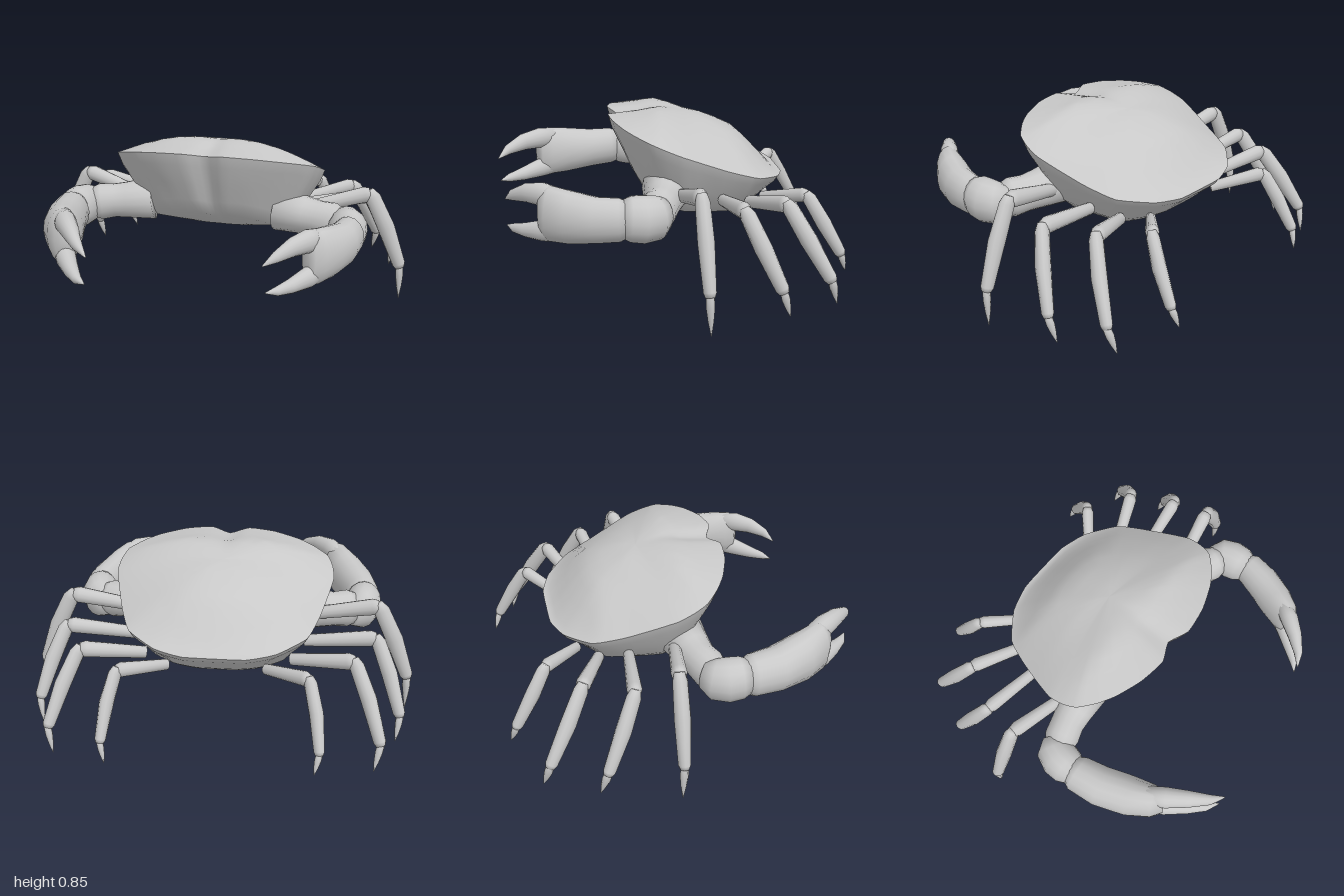
import * as THREE from 'three';

const shellGrey = new THREE.MeshStandardMaterial({ color: 0xc8c8c8 });
shellGrey.name = 'shell grey';

// Skin a list of closed rings (arrays of Vector3) into one smooth surface
function loft(name, rings) {
  const n = rings[0].length, index = [];
  for (let i = 0; i < rings.length - 1; i++) {
    for (let j = 0; j < n; j++) {
      const a = i * n + j, b = i * n + (j + 1) % n;
      index.push(a, b, a + n, b, b + n, a + n);
    }
  }
  const geo = new THREE.BufferGeometry().setFromPoints(rings.flat());
  geo.setIndex(index);
  geo.computeVertexNormals();
  const mesh = new THREE.Mesh(geo, shellGrey);
  mesh.name = name;
  return mesh;
}

// Elliptical limb along stations [x, y, z, half width, half height], closed at both ends
function limb(name, stations, sides = 12) {
  const pts = stations.map(s => new THREE.Vector3(s[0], s[1], s[2]));
  const last = pts.length - 1;
  const rings = pts.map((p, i) => {
    const t = pts[Math.min(i + 1, last)].clone().sub(pts[Math.max(i - 1, 0)]).normalize();
    const side = new THREE.Vector3(0, 1, 0).cross(t).normalize();
    const up = t.clone().cross(side);
    const [, , , w, h] = stations[i];
    return Array.from({ length: sides }, (_, j) => {
      const a = j / sides * Math.PI * 2;
      return p.clone().addScaledVector(side, Math.cos(a) * w).addScaledVector(up, Math.sin(a) * h);
    });
  });
  const cap = p => Array.from({ length: sides }, () => p.clone());
  return loft(name, [cap(pts[0]), ...rings, cap(pts[last])]);
}

// Piecewise linear lookup in [[z, y], ...]
function lookup(table, z) {
  if (z <= table[0][0]) return table[0][1];
  for (let i = 1; i < table.length; i++) {
    const [z0, y0] = table[i - 1], [z1, y1] = table[i];
    if (z <= z1) return y0 + (y1 - y0) * (z - z0) / (z1 - z0);
  }
  return table[table.length - 1][1];
}

// Rim outline seen from above, back to front on the left half
const outline = [[0, -0.625], [0.15, -0.622], [0.29, -0.575], [0.43, -0.46], [0.485, -0.33], [0.53, -0.18],
  [0.557, -0.07], [0.55, 0.01], [0.525, 0.08], [0.45, 0.15], [0.37, 0.2], [0.24, 0.25], [0.1, 0.27], [0, 0.225]];
const rimHeight = [[-0.62, 0.53], [-0.45, 0.57], [-0.3, 0.62], [-0.1, 0.7], [0.08, 0.77], [0.2, 0.81], [0.27, 0.835]];
const crown = [[-0.62, 0.53], [-0.55, 0.61], [-0.4, 0.74], [-0.22, 0.81], [0.02, 0.87], [0.1, 0.855], [0.27, 0.84]];
const belly = [[-0.5, 0.37], [-0.37, 0.345], [-0.1, 0.365], [0.03, 0.4], [0.15, 0.49]];

function makeBody() {
  const body = new THREE.Group();
  body.name = 'body';
  const loop = outline.concat(outline.slice(1, -1).reverse().map(([x, z]) => [-x, z]));
  const curve = new THREE.CatmullRomCurve3(loop.map(([x, z]) => new THREE.Vector3(x, 0, z)), true, 'catmullrom', 0.25);
  const rim = Array.from({ length: 78 }, (_, i) => curve.getPoint(i / 78));
  const zc = -0.15;
  const ring = (s, height) => rim.map(p => {
    const x = p.x * s, z = zc + (p.z - zc) * s;
    return new THREE.Vector3(x, height(lookup(rimHeight, p.z), z, x, p), z);
  });

  // Domed carapace, sloping gently to the sides, with a shallow groove towards the front
  const top = [0, 0.1, 0.2, 0.35, 0.5, 0.62, 0.75, 0.84, 0.92, 0.97, 1].map(s => ring(s, (r, z, x, p) => {
    const fall = s ** THREE.MathUtils.lerp(6, 1.8, Math.abs(p.x) / 0.557);
    const groove = 0.02 * Math.exp(-((x / 0.06) ** 2)) * THREE.MathUtils.smoothstep(z, -0.1, 0.1) * (1 - s ** 6);
    return THREE.MathUtils.lerp(r, lookup(crown, z), 1 - fall) - groove;
  }));
  body.add(loft('carapace', top));

  // Underside tapering in from the rim to the keeled belly
  const under = [[1, 0], [0.96, 0.18], [0.84, 0.5], [0.74, 0.78], [0.64, 0.94], [0.3, 1], [0, 1.04]];
  body.add(loft('underside', under.map(([s, t]) =>
    ring(s, (r, z) => THREE.MathUtils.lerp(r, lookup(belly, z), t)))));
  return body;
}

// Walking legs: base, knee, ankle, tip
const legs = [
  [[0.45, 0.5, -0.06], [0.79, 0.59, -0.125], [0.965, 0.19, -0.143], [0.97, 0.01, -0.15]],
  [[0.42, 0.46, -0.28], [0.77, 0.515, -0.325], [0.9, 0.17, -0.485], [0.885, 0.05, -0.52]],
  [[0.36, 0.43, -0.42], [0.655, 0.505, -0.545], [0.79, 0.17, -0.735], [0.765, 0.05, -0.77]],
  [[0.24, 0.42, -0.51], [0.445, 0.485, -0.69], [0.505, 0.19, -0.86], [0.485, 0.1, -0.89]],
];

function makeLeg(joints, side, i) {
  const leg = new THREE.Group();
  leg.name = (side > 0 ? 'left' : 'right') + 'Leg' + (i + 1);
  const k = [1, 0.95, 0.95, 0.85][i];
  const [base, knee, ankle, tip] = joints.map(([x, y, z]) => new THREE.Vector3(x * side, y, z));
  const at = (a, b, t, w, h, bow = 0) => {
    const p = a.clone().lerp(b, t);
    return [p.x + side * bow, p.y, p.z, w * k, h * k];
  };
  leg.add(limb('upperLeg', [at(base, knee, 0, 0.03, 0.032), at(base, knee, 0.5, 0.034, 0.038),
    at(base, knee, 0.92, 0.038, 0.043), at(base, knee, 1, 0.028, 0.032)]));
  leg.add(limb('lowerLeg', [at(knee, ankle, -0.04, 0.024, 0.024), at(knee, ankle, 0.05, 0.035, 0.041, 0.004),
    at(knee, ankle, 0.45, 0.039, 0.045, 0.012), at(knee, ankle, 0.95, 0.03, 0.034, 0.002),
    at(knee, ankle, 1, 0.022, 0.025)]));
  leg.add(limb('legTip', [at(ankle, tip, -0.1, 0.018, 0.02), at(ankle, tip, 0.25, 0.019, 0.022),
    at(ankle, tip, 0.6, 0.013, 0.015), at(ankle, tip, 1, 0.002, 0.002)], 8));
  return leg;
}

// Arm parts that are alike on both sides
const armParts = {
  arm: [[0.34, 0.505, -0.01, 0.125, 0.115], [0.48, 0.49, 0.02, 0.095, 0.098], [0.55, 0.485, 0.035, 0.086, 0.092],
    [0.62, 0.48, 0.058, 0.088, 0.1], [0.67, 0.475, 0.08, 0.07, 0.08]],
  wrist: [[0.65, 0.475, 0.03, 0.055, 0.08], [0.69, 0.47, 0.07, 0.092, 0.105], [0.71, 0.47, 0.13, 0.1, 0.112],
    [0.715, 0.475, 0.185, 0.092, 0.108], [0.715, 0.475, 0.225, 0.07, 0.09]],
};
// Pincer parts, enlarged on the right
const pincerParts = {
  palm: [[0.72, 0.475, 0.19, 0.055, 0.08], [0.725, 0.475, 0.235, 0.08, 0.102], [0.705, 0.47, 0.34, 0.088, 0.108],
    [0.66, 0.472, 0.46, 0.086, 0.126], [0.617, 0.478, 0.55, 0.068, 0.135], [0.595, 0.478, 0.59, 0.04, 0.11]],
  lowerFinger: [[0.64, 0.405, 0.5, 0.045, 0.055], [0.59, 0.388, 0.59, 0.042, 0.05], [0.53, 0.373, 0.67, 0.031, 0.035],
    [0.48, 0.368, 0.73, 0.02, 0.022], [0.435, 0.368, 0.765, 0.003, 0.003]],
  upperFinger: [[0.625, 0.555, 0.52, 0.04, 0.05], [0.585, 0.562, 0.585, 0.045, 0.056], [0.53, 0.555, 0.66, 0.036, 0.045],
    [0.472, 0.528, 0.73, 0.022, 0.027], [0.42, 0.495, 0.77, 0.003, 0.003]],
};

function makeClaw(side) {
  const claw = new THREE.Group();
  claw.name = side > 0 ? 'leftClaw' : 'rightClaw';
  const big = side < 0 ? 1.2 : 1, tall = side < 0 ? 1.06 : 1;
  for (const [name, st] of Object.entries(armParts)) {
    const out = side < 0 ? 0.02 : 0;
    claw.add(limb(name, st.map(([x, y, z, w, h]) => [side * (x + out), y, z, w, h]), 16));
  }
  for (const [name, st] of Object.entries(pincerParts)) {
    claw.add(limb(name, st.map(([x, y, z, w, h]) => [
      side * (0.71 + (x - 0.71) * big), 0.475 + (y - 0.475) * tall, 0.2 + (z - 0.2) * big,
      w * (1 + (big - 1) * 0.8), h * tall]), 16));
  }
  return claw;
}

export function createModel() {
  const crab = new THREE.Group();
  crab.name = 'crab';
  crab.add(makeBody());
  for (const side of [1, -1]) {
    legs.forEach((joints, i) => crab.add(makeLeg(joints, side, i)));
    crab.add(makeClaw(side));
  }
  return crab;
}
